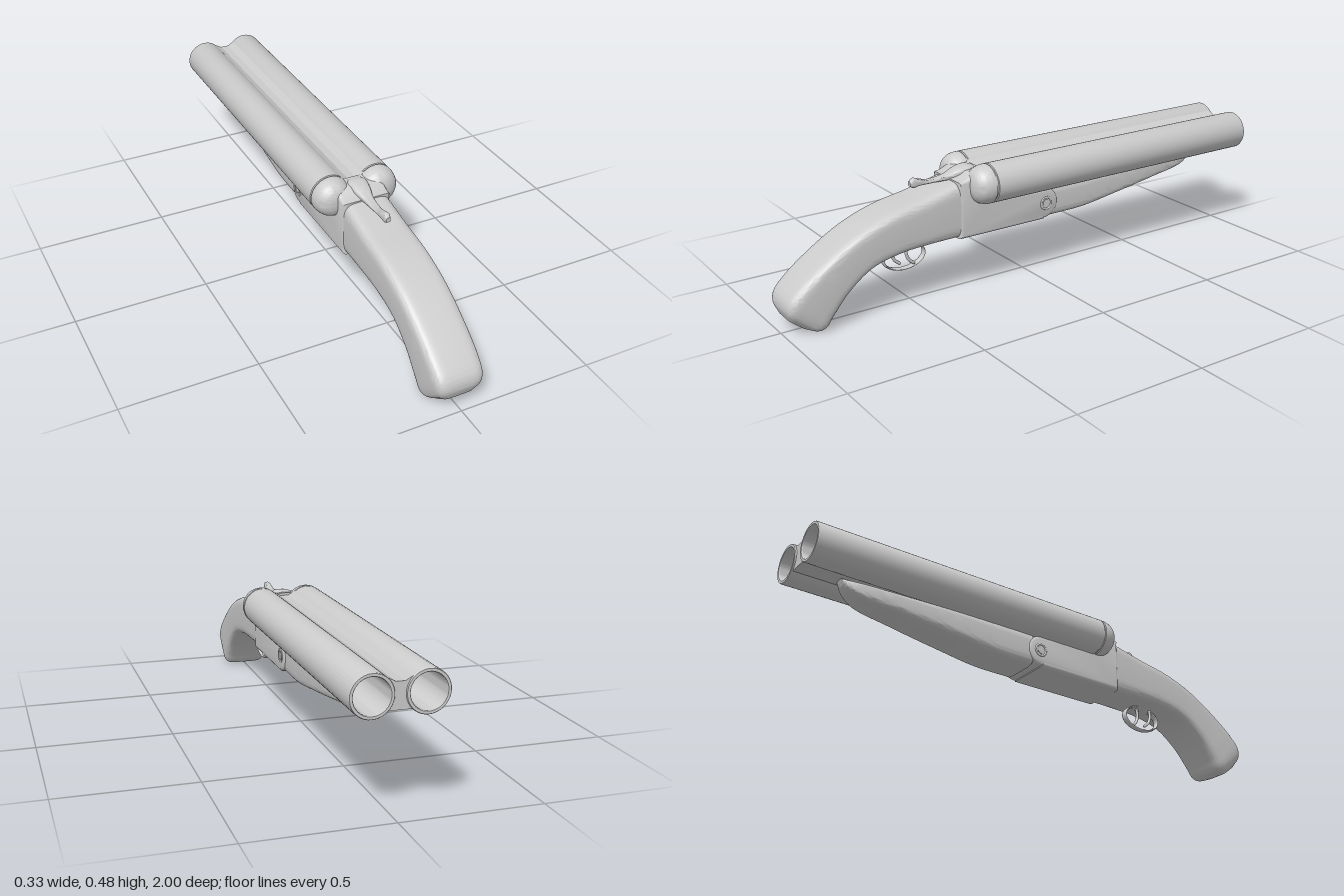
import * as THREE from 'three';
import { toCreasedNormals } from 'three/addons/utils/BufferGeometryUtils.js';

const V = (x, y, z) => new THREE.Vector3(x, y, z);

// Skin of rounded-box sections, each [topZ, topY, bottomZ, bottomY, halfWidth], listed towards +z.
function loft(sections, power, steps, sides = 48) {
  const top = new THREE.CatmullRomCurve3(sections.map(s => V(s[4], s[1], s[0])), false, 'centripetal');
  const bottom = new THREE.CatmullRomCurve3(sections.map(s => V(s[4], s[3], s[2])), false, 'centripetal');
  const pos = [], index = [];
  const round = c => Math.sign(c) * Math.pow(Math.abs(c), 2 / power);
  for (let i = 0; i <= steps; i++) {
    const t = top.getPoint(i / steps), b = bottom.getPoint(i / steps);
    for (let j = 0; j < sides; j++) {
      const a = (j / sides) * Math.PI * 2, k = (round(Math.sin(a)) + 1) / 2;
      pos.push(t.x * round(Math.cos(a)), b.y + (t.y - b.y) * k, b.z + (t.z - b.z) * k);
    }
  }
  for (let i = 0; i < steps; i++) {
    for (let j = 0; j < sides; j++) {
      const n = (j + 1) % sides, a = i * sides + j, b = i * sides + n;
      index.push(a, b, b + sides, a, b + sides, a + sides);
    }
  }
  // End caps
  for (const i of [0, steps]) {
    const t = top.getPoint(i / steps), b = bottom.getPoint(i / steps), c = pos.length / 3;
    pos.push(0, (t.y + b.y) / 2, (t.z + b.z) / 2);
    for (let j = 0; j < sides; j++) {
      const p = i * sides + j, q = i * sides + (j + 1) % sides;
      index.push(c, i ? p : q, i ? q : p);
    }
  }
  const g = new THREE.BufferGeometry();
  g.setAttribute('position', new THREE.Float32BufferAttribute(pos, 3));
  g.setIndex(index);
  return toCreasedNormals(g, 0.8);
}

export function createModel() {
  const model = new THREE.Group();
  const grey = new THREE.MeshStandardMaterial({ color: 0xcccccc });
  const add = (name, geometry) => {
    const mesh = new THREE.Mesh(geometry, grey);
    mesh.name = name;
    model.add(mesh);
    return mesh;
  };

  // Curved grip
  add('grip', loft([
    [0.32, 0.432, 0.32, 0.22, 0.09], [0.465, 0.397, 0.45, 0.22, 0.092],
    [0.6, 0.37, 0.57, 0.213, 0.093], [0.73, 0.322, 0.68, 0.185, 0.093],
    [0.865, 0.242, 0.77, 0.12, 0.093], [0.95, 0.178, 0.83, 0.05, 0.093],
    [0.99, 0.135, 0.86, 0.01, 0.09], [0.998, 0.1, 0.885, 0.002, 0.08],
    [0.985, 0.06, 0.925, 0.013, 0.05],
  ], 5.5, 56));

  // Barrels with rounded breech ends and hollow bores
  const R = 0.073, profile = [];
  for (let i = 0; i <= 12; i++) {
    const a = (i / 12) * Math.PI / 2;
    profile.push(new THREE.Vector2(R * Math.pow(Math.sin(a), 0.8), -0.218 - 0.072 * Math.pow(Math.cos(a), 0.85)));
  }
  for (const [r, y] of [[0.069, -0.216], [0.069, -0.212], [R, -0.21], [R, 0.997], [0.071, 1], [0.062, 1], [0.06, 0.997], [0.06, -0.2], [0, -0.2]]) {
    profile.push(new THREE.Vector2(r, y));
  }
  const barrel = toCreasedNormals(new THREE.LatheGeometry(profile, 40).rotateX(-Math.PI / 2), 0.6);
  for (const s of [1, -1]) {
    add(s > 0 ? 'leftBarrel' : 'rightBarrel', barrel).position.set(s * 0.091, 0.413, 0);
  }

  // Rib joining the barrels
  const half = [[0.015, 0.452], [0.045, 0.468], [0.021, 0.413], [0.042, 0.362]];
  const ribPoints = [...half, ...half.slice().reverse().map(([x, y]) => [-x, y])];
  const ribShape = new THREE.Shape(ribPoints.map(p => new THREE.Vector2(...p)));
  add('rib', new THREE.ExtrudeGeometry(ribShape, { depth: 1.215, bevelEnabled: false })).position.z = -0.995;

  // Receiver: side outline extruded across the width
  const body = new THREE.Shape();
  body.moveTo(-0.332, 0.22);
  body.lineTo(0.04, 0.22);
  body.absarc(0.04, 0.284, 0.06, -Math.PI / 2, Math.PI / 2, false);
  body.lineTo(-0.218, 0.348);
  body.lineTo(-0.218, 0.462);
  body.lineTo(-0.275, 0.456);
  body.quadraticCurveTo(-0.3, 0.436, -0.332, 0.434);
  const bevel = 0.014;
  const receiver = new THREE.ExtrudeGeometry(body, {
    depth: 0.186 - 2 * bevel, curveSegments: 20, bevelThickness: bevel, bevelSize: bevel, bevelOffset: -bevel, bevelSegments: 4,
  });
  receiver.translate(0, 0, -0.093 + bevel).rotateY(Math.PI / 2);
  add('receiver', toCreasedNormals(receiver, 0.6));

  // Hinge pin and its raised rim on both sides
  for (const s of [1, -1]) {
    const rim = add('hingeRim', new THREE.TorusGeometry(0.023, 0.004, 8, 28));
    rim.rotation.y = Math.PI / 2;
    rim.position.set(s * 0.092, 0.284, -0.045);
    const pin = add('hingePin', new THREE.CylinderGeometry(0.015, 0.015, 0.004, 24));
    pin.rotation.z = Math.PI / 2;
    pin.position.set(s * 0.093, 0.284, -0.045);
  }

  // Tapered fore-end under the barrels
  add('foreEnd', loft([
    [-0.84, 0.36, -0.832, 0.34, 0.02], [-0.82, 0.355, -0.815, 0.322, 0.034],
    [-0.765, 0.352, -0.765, 0.294, 0.052], [-0.6, 0.35, -0.6, 0.27, 0.07],
    [-0.39, 0.35, -0.39, 0.242, 0.083], [-0.23, 0.35, -0.23, 0.222, 0.088],
    [-0.075, 0.35, -0.075, 0.22, 0.089],
  ], 5, 40));

  // Top lever with a rounded thumb end
  add('topLever', loft([
    [0.225, 0.464, 0.225, 0.44, 0.025], [0.25, 0.468, 0.25, 0.435, 0.036],
    [0.29, 0.463, 0.29, 0.425, 0.032], [0.34, 0.446, 0.34, 0.425, 0.02],
    [0.41, 0.44, 0.41, 0.425, 0.014], [0.45, 0.451, 0.45, 0.424, 0.013],
    [0.47, 0.456, 0.47, 0.42, 0.012], [0.484, 0.446, 0.484, 0.428, 0.008],
  ], 3, 32, 24));

  // Trigger guard loop
  const loop = [];
  for (let i = 0; i < 24; i++) {
    const a = (i / 24) * Math.PI * 2;
    loop.push(V(0, 0.173 + 0.048 * Math.sin(a), 0.518 + 0.083 * Math.cos(a)));
  }
  const guard = new THREE.TubeGeometry(new THREE.CatmullRomCurve3(loop, true), 64, 0.004, 8, true);
  add('triggerGuard', guard.scale(3.5, 1, 1));

  // Two curved triggers side by side
  for (const [x, z] of [[0.012, 0.5], [-0.012, 0.545]]) {
    const path = new THREE.CatmullRomCurve3([
      V(x, 0.225, z + 0.01), V(x, 0.19, z + 0.014), V(x, 0.16, z + 0.004), V(x, 0.142, z - 0.016),
    ]);
    add('trigger', new THREE.TubeGeometry(path, 16, 0.006, 8));
    add('triggerTip', new THREE.SphereGeometry(0.006, 10, 8)).position.set(x, 0.142, z - 0.016);
  }

  return model;
}
